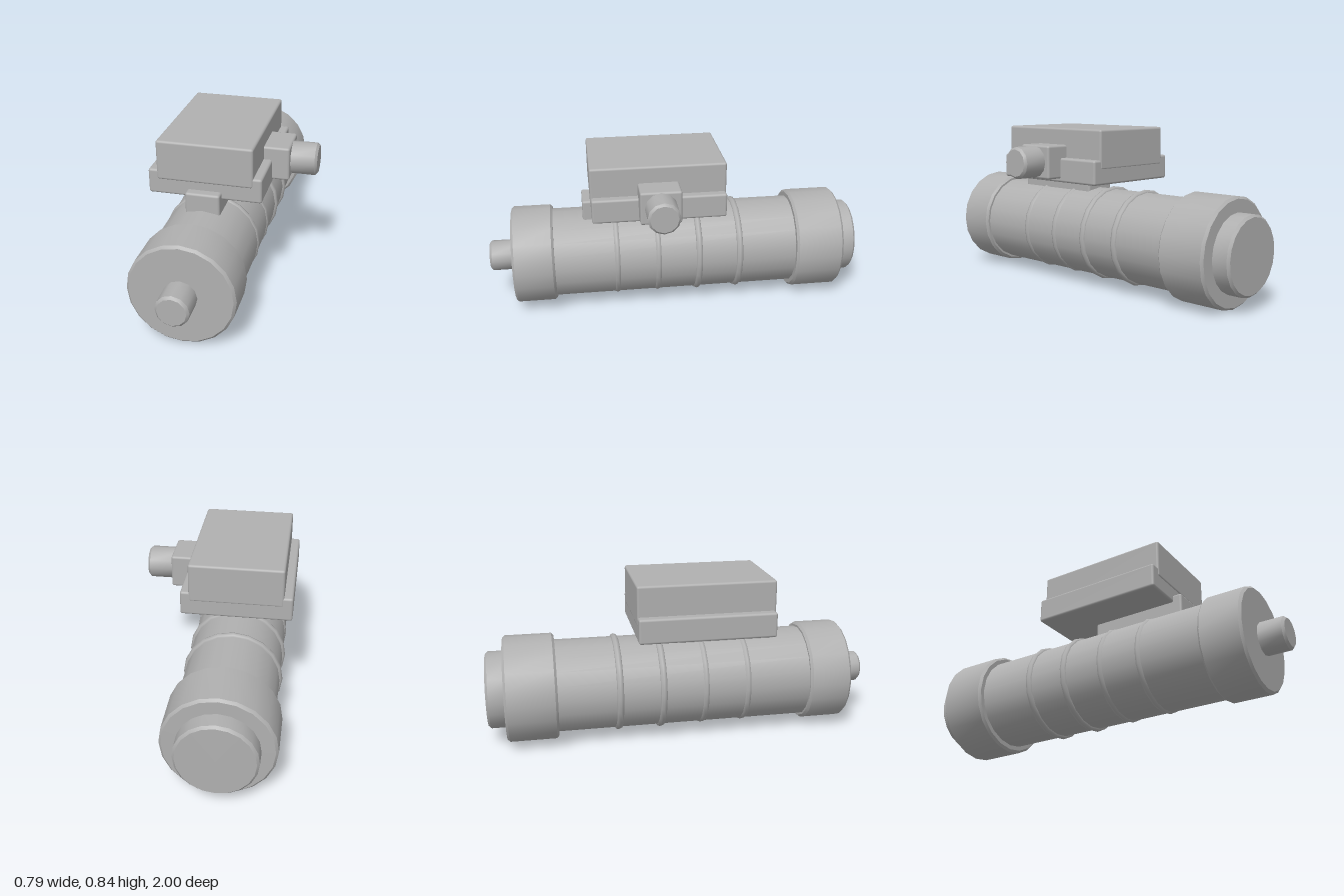
import * as THREE from 'three';
import { toCreasedNormals } from 'three/addons/utils/BufferGeometryUtils.js';
import { RoundedBoxGeometry } from 'three/addons/geometries/RoundedBoxGeometry.js';

const AXIS_X = -0.11, AXIS_Y = 0.277;

// Closed cylinder along y from a to b with chamfered rims
function chamferedCylinder(radius, a, b, sides, bevel = 0.012) {
  const profile = [
    [0, a], [radius - bevel, a], [radius, a + bevel],
    [radius, b - bevel], [radius - bevel, b], [0, b],
  ].map(([r, y]) => new THREE.Vector2(r, y));
  return toCreasedNormals(new THREE.LatheGeometry(profile, sides), 0.62);
}

export function createModel() {
  const model = new THREE.Group();
  model.name = 'scopeDevice';
  const grey = new THREE.MeshStandardMaterial({ color: 0xb0b0b0 });
  grey.name = 'plain grey';

  function add(name, geometry, x = 0, y = 0, z = 0) {
    const mesh = new THREE.Mesh(geometry, grey);
    mesh.name = name;
    mesh.position.set(x, y, z);
    model.add(mesh);
  }

  // Box given by its limits on each axis
  function addBox(name, [x0, x1], [y0, y1], [z0, z1], bevel = 0.012) {
    const geometry = new RoundedBoxGeometry(x1 - x0, y1 - y0, z1 - z0, 2, bevel);
    add(name, geometry, (x0 + x1) / 2, (y0 + y1) / 2, (z0 + z1) / 2);
  }

  // Main tube, end caps and end studs, all on one axis
  const barrel = [
    ['tubeBody', 0.24, -0.68, 0.68, 20],
    ['frontCap', 0.263, 0.65, 0.87, 20],
    ['frontStud', 0.082, 0.85, 1.0, 12],
    ['rearCap', 0.275, -0.91, -0.65, 20],
    ['rearPlug', 0.198, -1.0, -0.89, 20],
  ];
  for (const [name, radius, z0, z1, sides] of barrel) {
    add(name, chamferedCylinder(radius, z0, z1, sides).rotateX(Math.PI / 2), AXIS_X, AXIS_Y);
  }

  // Raised bands around the tube
  [[0.32, 0.228], [0.10, 0.228], [-0.12, 0.235], [-0.34, 0.235]].forEach(([z, r], i) => {
    const ring = new THREE.TorusGeometry(r, 0.019, 8, 20);
    add('band' + (i + 1), ring, AXIS_X, AXIS_Y, z);
  });

  // Housing on top, carried by a narrow mount
  addBox('mount', [-0.198, -0.025], [0.48, 0.605], [-0.02, 0.49]);
  addBox('housingBase', [-0.395, 0.173], [0.565, 0.692], [-0.25, 0.445]);
  addBox('housingTop', [-0.35, 0.13], [0.642, 0.846], [-0.252, 0.449]);

  // Adjustment knob on the left side
  addBox('knobBlock', [0.11, 0.26], [0.585, 0.759], [-0.005, 0.207]);
  add('knob', chamferedCylinder(0.083, 0.24, 0.393, 12).rotateZ(-Math.PI / 2), 0, 0.673, 0.101);

  return model;
}
